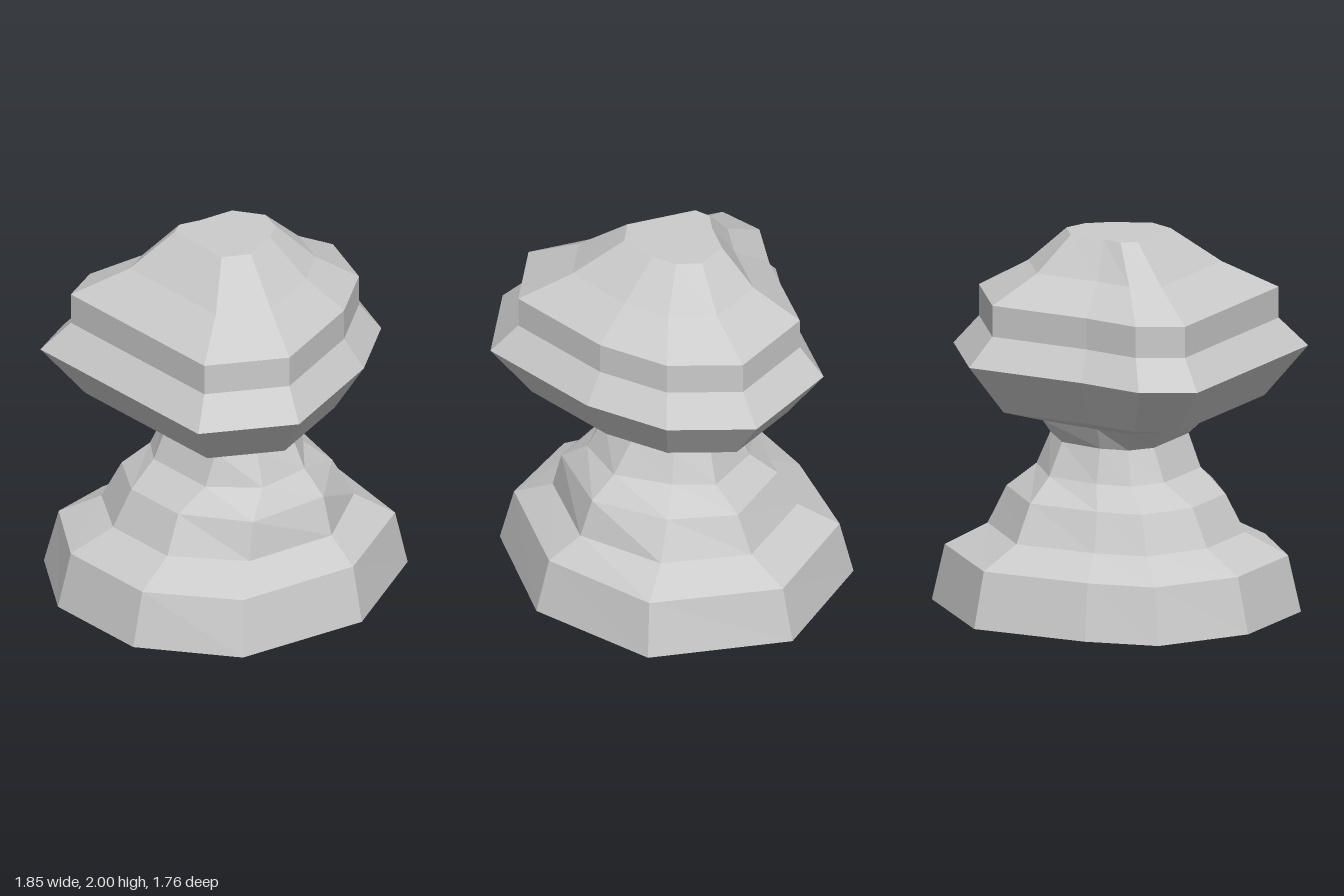
import * as THREE from 'three';

// Irregular nine-sided outlines as [x, z], running from +x towards +z
const foot = [[0.8, 0.43], [0.17, 0.81], [-0.57, 0.73], [-0.93, 0.27], [-0.93, -0.34], [-0.64, -0.8], [-0.25, -0.88], [0.4, -0.87], [0.92, -0.33]];
const footTop = [[0.74, 0.4], [0.17, 0.74], [-0.52, 0.67], [-0.86, 0.26], [-0.86, -0.32], [-0.59, -0.74], [-0.23, -0.81], [0.38, -0.8], [0.86, -0.3]];
const step = [[0.57, 0.27], [0.17, 0.565], [-0.35, 0.52], [-0.64, 0.2], [-0.64, -0.24], [-0.45, -0.56], [-0.17, -0.61], [0.29, -0.6], [0.66, -0.2]];
const shoulder = [[0.48, 0.2], [0.17, 0.5], [-0.3, 0.49], [-0.54, 0.17], [-0.54, -0.21], [-0.38, -0.48], [-0.14, -0.52], [0.26, -0.5], [0.57, -0.16]];
const stem = [[0.35, 0.12], [0.15, 0.37], [-0.16, 0.4], [-0.38, 0.2], [-0.38, -0.22], [-0.27, -0.38], [-0.08, -0.41], [0.22, -0.36], [0.43, -0.09]];
const waist = [[0.29, 0.09], [0.14, 0.27], [-0.13, 0.32], [-0.31, 0.2], [-0.31, -0.2], [-0.22, -0.32], [-0.07, -0.345], [0.18, -0.29], [0.35, -0.09]];
const collar = [[0.37, 0.14], [0.17, 0.32], [-0.17, 0.42], [-0.41, 0.3], [-0.41, -0.3], [-0.28, -0.43], [-0.08, -0.4], [0.26, -0.34], [0.45, -0.08]];
const rim = [[0.73, 0.3], [0.36, 0.6], [-0.315, 0.88], [-0.79, 0.63], [-0.79, -0.65], [-0.52, -0.79], [-0.14, -0.71], [0.54, -0.65], [0.89, -0.14]];
const crown = [[0.22, 0.05], [0.11, 0.14], [-0.09, 0.22], [-0.23, 0.15], [-0.23, -0.23], [-0.155, -0.28], [-0.04, -0.25], [0.16, -0.23], [0.26, -0.08]];

const scaled = (outline, s) => outline.map(([x, z]) => [x * s, z * s]);

// Joins stacked outlines [y, outline] with flat facets, closing either end if asked
function loft(name, rings, closeBottom, closeTop) {
  const positions = [];
  const index = [];
  const n = rings[0][1].length;
  for (const [y, outline] of rings) {
    for (const [x, z] of outline) positions.push(x, y, z);
  }
  for (let r = 0; r < rings.length - 1; r++) {
    for (let i = 0; i < n; i++) {
      const j = (i + 1) % n;
      const a = r * n + i, b = r * n + j;
      index.push(a, a + n, b + n, a, b + n, b);
    }
  }
  const top = (rings.length - 1) * n;
  for (let i = 1; i < n - 1; i++) {
    if (closeBottom) index.push(0, i, i + 1);
    if (closeTop) index.push(top, top + i + 1, top + i);
  }
  const indexed = new THREE.BufferGeometry();
  indexed.setAttribute('position', new THREE.Float32BufferAttribute(positions, 3));
  indexed.setIndex(index);
  const geometry = indexed.toNonIndexed();
  geometry.computeVertexNormals();
  const material = new THREE.MeshStandardMaterial({ color: 0xcccccc, flatShading: true });
  const mesh = new THREE.Mesh(geometry, material);
  mesh.name = name;
  return mesh;
}

export function createModel() {
  const group = new THREE.Group();
  group.name = 'carvedFinial';

  // Broad foot with a sloping ledge
  group.add(loft('base', [[0, foot], [0.295, footTop], [0.41, step]], true, false));

  // Tapering neck, narrowest at the waist
  group.add(loft('neck', [[0.41, step], [0.61, shoulder], [0.73, stem], [0.905, waist], [1.02, collar]], false, false));

  // Wide head: flared underside, straight band, sloping crown
  group.add(loft('head', [
    [1.02, collar],
    [1.08, scaled(rim, 0.77)],
    [1.335, rim],
    [1.49, scaled(rim, 0.845)],
    [1.655, scaled(rim, 0.845)],
    [1.805, scaled(rim, 0.545)],
    [2, crown],
  ], false, true));

  return group;
}
